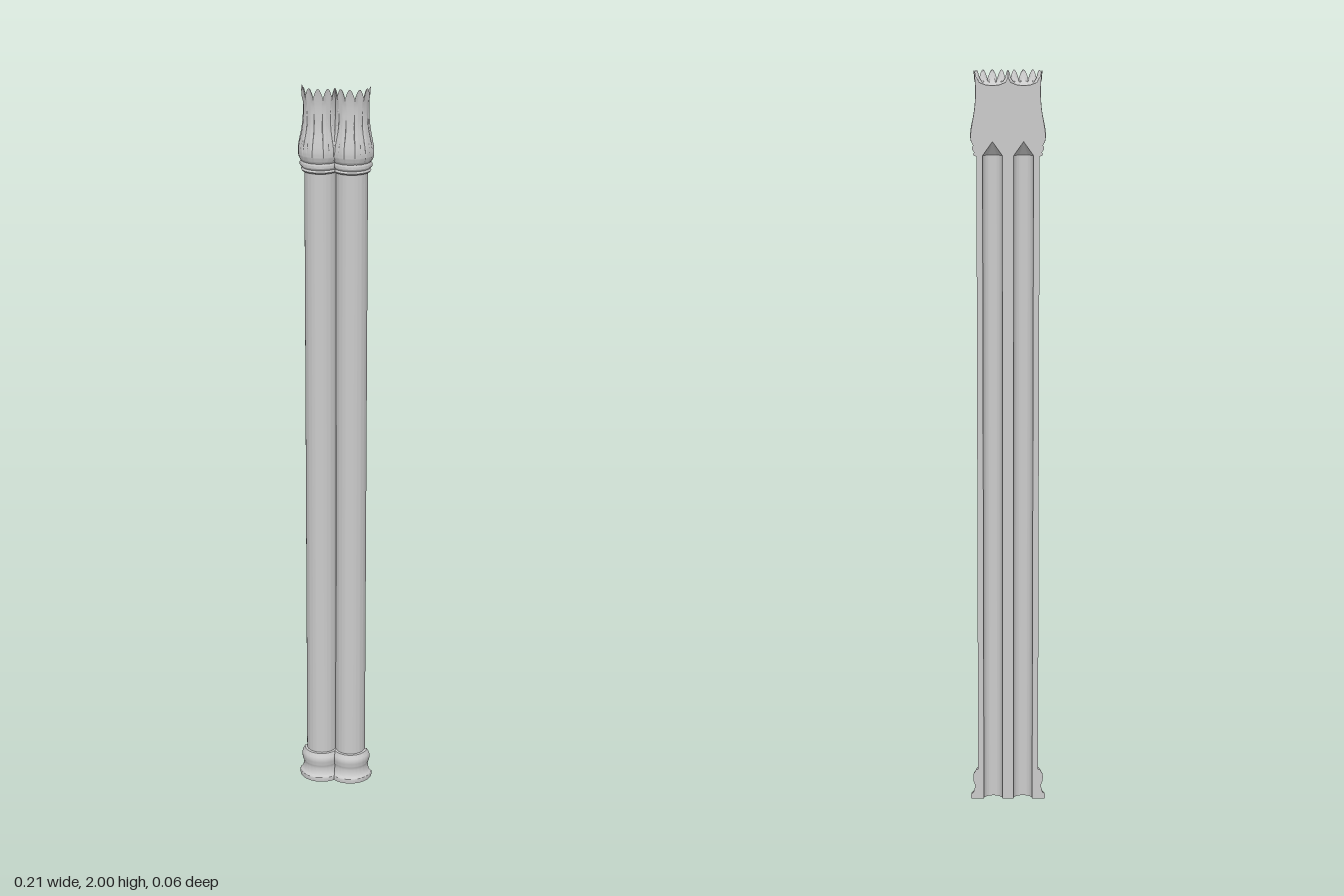
import * as THREE from 'three';
import { toCreasedNormals } from 'three/addons/utils/BufferGeometryUtils.js';

const CX = 0.041;      // distance of each half column from the middle
const BACK = -0.032;   // flat rear plane
const CH = 0.026;      // radius of the hollow channel in the back

const material = new THREE.MeshStandardMaterial({ color: 0xcccccc, side: THREE.DoubleSide });
const v2 = (pairs) => pairs.map(([r, y]) => new THREE.Vector2(r, y));

const BASE = v2([[0.061, 0], [0.062, 0.006], [0.061, 0.013], [0.055, 0.018], [0.052, 0.027], [0.0505, 0.037],
  [0.052, 0.045], [0.0545, 0.05], [0.0555, 0.058], [0.0555, 0.066], [0.054, 0.073], [0.05, 0.079], [0.048, 0.084], [0.042, 0.085]]);
const SHAFT = v2([[0.042, 0.085], [0.042, 1.778]]);
const COLLAR = v2([[0.042, 1.776], [0.048, 1.778], [0.051, 1.782], [0.048, 1.787], [0.05, 1.79],
  [0.054, 1.794], [0.054, 1.8], [0.05, 1.805]]);
const BELL = new THREE.SplineCurve(v2([[0.049, 1.804], [0.055, 1.815], [0.056, 1.832], [0.052, 1.86],
  [0.047, 1.89], [0.0445, 1.92], [0.0445, 1.95], [0.047, 1.98], [0.049, 1.992]])).getPoints(30);
const BOWL = v2([[0.046, 1.99], [0.042, 1.978], [0.034, 1.968], [0.018, 1.962], [0, 1.96]]);
const CAPITAL = [...BELL, ...BOWL];

// Carves upright leaves with grooves, midribs and scalloped tips
function leafPoint(r, y, phi, outside) {
  const leaf = Math.abs(Math.cos(6 * phi));
  const rib = Math.pow(Math.abs(Math.sin(6 * phi)), 0.5);
  const h = THREE.MathUtils.clamp((y - 1.804) / 0.19, 0, 1);
  let radius = r;
  if (outside) {
    const depth = 0.006 * Math.sin(Math.PI * Math.min(1, h * 1.1 + 0.08));
    radius += depth * (Math.sqrt(leaf) - 0.55) - 0.0015 * (1 - rib) * Math.sin(Math.PI * h);
    // short lower leaves between the tall ones
    radius += 0.003 * Math.exp(-Math.pow((h - 0.22) / 0.16, 2)) * Math.abs(Math.sin(6 * phi));
  }
  const rim = THREE.MathUtils.smoothstep(y, 1.955, 1.99) * THREE.MathUtils.smoothstep(r, 0.03, 0.045);
  return [radius, y + rim * (0.024 * leaf - 0.016)];
}

export function createModel() {
  const model = new THREE.Group();
  model.name = 'twinHalfColumn';

  for (const side of [-1, 1]) {
    const column = new THREE.Group();
    column.name = side > 0 ? 'leftHalfColumn' : 'rightHalfColumn';
    column.position.set(side * CX, 0, BACK);
    model.add(column);

    // Stops each half column where it meets its twin
    const clampX = (x) => (side * x < -CX ? -side * CX : x);
    const add = (name, geometry, crease) => {
      const p = geometry.attributes.position;
      for (let i = 0; i < p.count; i++) p.setX(i, clampX(p.getX(i)));
      const mesh = new THREE.Mesh(crease ? toCreasedNormals(geometry, crease) : geometry, material);
      mesh.name = name;
      column.add(mesh);
    };
    const halfLathe = (points, segments = 48) => new THREE.LatheGeometry(points, segments, -Math.PI / 2, Math.PI);

    add('base', halfLathe(BASE), 0.7);
    add('shaft', halfLathe(SHAFT), 0.7);
    add('collar', halfLathe(COLLAR), 0.8);

    // Leafy capital with a shallow bowl on top
    const capital = halfLathe(CAPITAL, 96);
    const p = capital.attributes.position;
    for (let i = 0; i < p.count; i++) {
      const x = p.getX(i), z = p.getZ(i), phi = Math.atan2(x, z);
      const [r, y] = leafPoint(Math.hypot(x, z), p.getY(i), phi, i % CAPITAL.length < BELL.length);
      p.setXYZ(i, r * Math.sin(phi), y, r * Math.cos(phi));
    }
    add('capital', capital, 0.7);

    // Rear hollow ending in a pointed top
    add('rearChannel', halfLathe(v2([[CH, 0], [CH, 1.778], [0, 1.815]]), 24), 0.5);

    // Flat rear face following the outline of the column around the channel
    const edge = [...BASE, ...SHAFT, ...COLLAR].map((q) => [q.x, q.y]);
    CAPITAL.forEach((q, i) => edge.push(leafPoint(q.x, q.y, Math.PI / 2, i < BELL.length)));
    const mirrored = edge.slice(0, -1).reverse().map(([x, y]) => [-x, y]);
    const outline = [...edge, ...mirrored].map(([x, y]) => [clampX(x), y]);
    outline.push([-CH, 0], [-CH, 1.778], [0, 1.815], [CH, 1.778], [CH, 0]);
    add('rearFace', new THREE.ShapeGeometry(new THREE.Shape(v2(outline))));

    // Underside of the base
    const foot = new THREE.RingGeometry(CH, 0.061, 48, 1, 0, Math.PI);
    foot.rotateX(Math.PI / 2);
    add('underside', foot);
  }
  return model;
}
